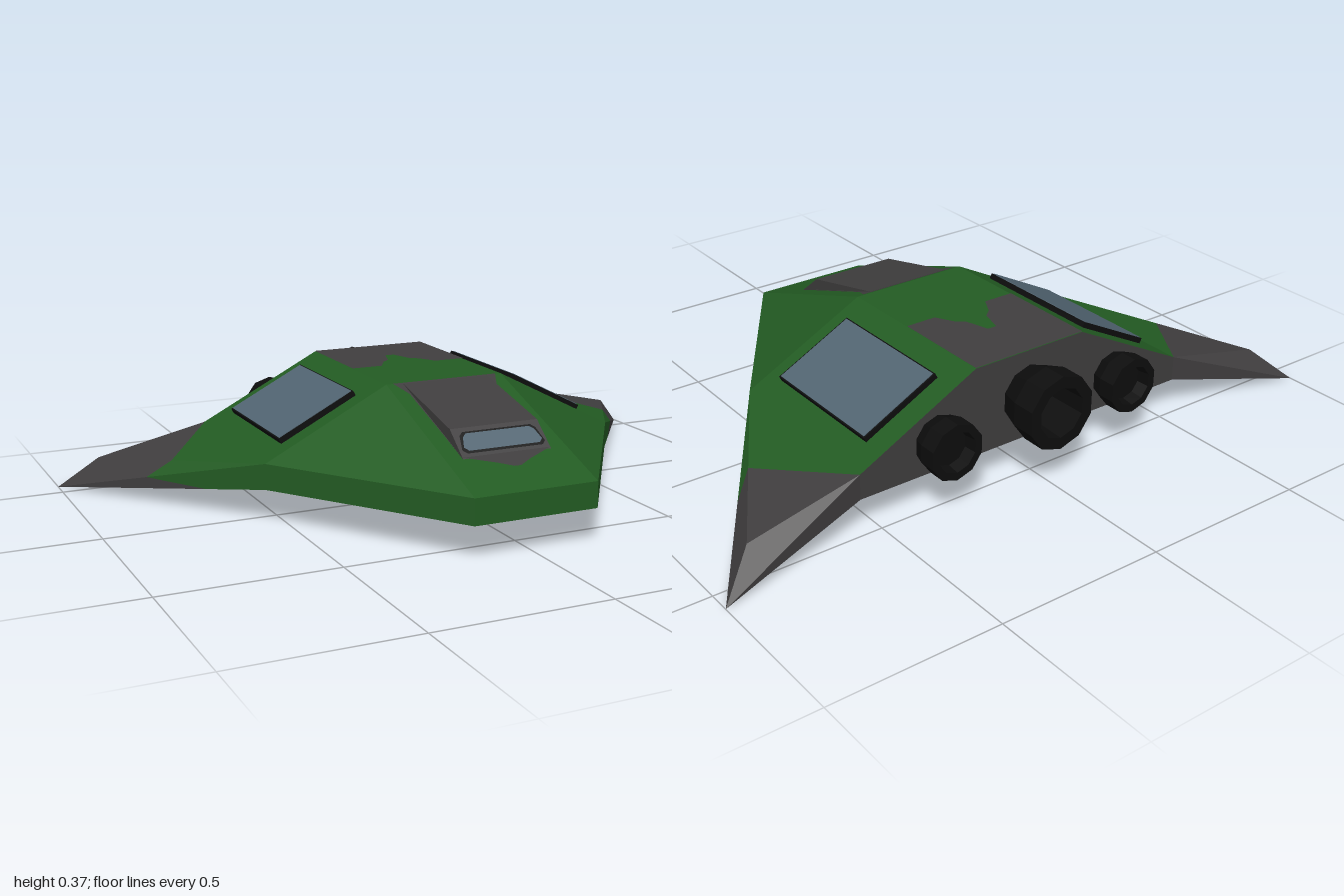
import * as THREE from 'three';

const mat = (name, color) => new THREE.MeshStandardMaterial({ name, color, flatShading: true, side: THREE.DoubleSide });

export function createModel() {
  const green = mat('hullGreen', 0x235c23);
  const grey = mat('hullGrey', 0x403e3f);
  const black = mat('engineBlack', 0x0d0d0d);
  const glass = mat('glassBlue', 0x526572);

  const model = new THREE.Group();
  model.name = 'deltaCraft';

  const add = (parent, name, geometry, material) => {
    const mesh = new THREE.Mesh(geometry, material);
    mesh.name = name;
    parent.add(mesh);
    return mesh;
  };

  // Flat convex panel, wound so that it faces along the outward hint
  const panel = (name, material, hint, pts) => {
    const v = pts.map((p) => new THREE.Vector3(...p));
    const n = v[1].clone().sub(v[0]).cross(v[2].clone().sub(v[0]));
    if (n.dot(new THREE.Vector3(...hint)) < 0) v.reverse();
    const tris = [];
    for (let i = 1; i < v.length - 1; i++) tris.push(v[0], v[i], v[i + 1]);
    const g = new THREE.BufferGeometry().setFromPoints(tris);
    g.computeVertexNormals();
    add(model, name, g, material);
  };
  const flip = ([x, y, z]) => [-x, y, z];
  const pair = (name, material, hint, pts) => {
    panel('left' + name, material, hint, pts);
    panel('right' + name, material, flip(hint), pts.map(flip));
  };
  const across = (name, material, hint, pts) =>
    panel(name, material, hint, [...pts, ...pts.map(flip).reverse()]);
  const mix = (a, b, t) => a.map((c, i) => c + (b[i] - c) * t);

  // Key corners of the left half of the hull
  const noseTop = [0.185, 0.175, 0.62], noseLow = [0.185, 0.1, 0.62];
  const ridge = [0.185, 0.365, 0.07], ridgeRear = [0.185, 0.365, -0.485];
  const shoulder = [0.555, 0.175, 0.07], shoulderLow = [0.555, 0.1, 0.07];
  const rear = [0.555, 0.175, -0.485], rearLow = [0.555, 0.1, -0.485];
  const wingKnee = [0.89, 0.1, -0.485], tip = [1, 0, -0.565];

  // Central hull
  across('roof', green, [0, 1, 0], [ridge, ridgeRear]);
  across('noseSlope', green, [0, 1, 1], [noseTop, ridge]);
  across('noseFront', green, [0, 0, 1], [noseLow, noseTop]);
  across('belly', grey, [0, -1, 0], [noseLow, shoulderLow, rearLow]);
  across('sternPlate', grey, [0, 0, -1], [rearLow, rear, ridgeRear]);
  pair('CheekSlope', green, [1, 1, 1], [noseTop, shoulder, ridge]);
  pair('RoofSlope', green, [1, 1, 0], [ridge, shoulder, rear, ridgeRear]);
  pair('NoseSide', green, [1, 0, 1], [noseLow, shoulderLow, shoulder, noseTop]);

  // Wings: green roots running into grey tips
  const onCrease = mix(shoulder, wingKnee, 0.54);
  const onEdge = mix(shoulder, tip, 0.55);
  const onKeel = mix(shoulderLow, tip, 0.27);
  pair('WingTopRoot', green, [0, 1, 0], [shoulder, onCrease, rear]);
  pair('WingTopTip', grey, [0, 1, 0], [onCrease, wingKnee, rear]);
  pair('WingEdgeRoot', green, [1, 1, 0], [shoulder, onEdge, onCrease]);
  pair('WingEdgeTip', grey, [1, 1, 0], [onCrease, onEdge, tip, wingKnee]);
  pair('WingSideRoot', green, [1, 0, 1], [shoulder, shoulderLow, onKeel, onEdge]);
  pair('WingSideTip', grey, [1, 0, 1], [onEdge, onKeel, tip]);
  pair('WingUnderside', grey, [0, -1, 0], [shoulderLow, rearLow, tip]);
  pair('WingRearUpper', grey, [0, 0, -1], [rear, wingKnee, tip]);
  pair('WingRearLower', grey, [0, 0, -1], [rear, tip, rearLow]);

  // Painted patches laid just above the hull; half outlines are given as [x, z]
  const patch = (name, half, heightAt) => {
    const outline = [...half, ...half.map(([x, z]) => [-x, z]).reverse()];
    const shape = new THREE.Shape(outline.map(([x, z]) => new THREE.Vector2(x, -z)));
    const g = new THREE.ShapeGeometry(shape).rotateX(-Math.PI / 2);
    const p = g.attributes.position;
    for (let i = 0; i < p.count; i++) p.setY(i, heightAt(p.getZ(i)) + 0.002);
    g.computeVertexNormals();
    add(model, name, g, grey);
  };
  const slopeY = (z) => 0.175 + (0.19 * (0.62 - z)) / 0.55;
  patch('roofPatch', [[0.185, -0.485], [0.185, -0.175], [0.09, -0.175], [0.06, -0.23],
    [0.035, -0.25], [0.014, -0.32]], () => 0.365);
  patch('nosePatch', [[0.165, 0.072], [0.14, 0.13], [0.135, 0.45], [0.05, 0.49], [0.01, 0.513]], slopeY);

  // Cockpit: wedge with a sloped front window
  const cockpit = new THREE.Group();
  cockpit.name = 'cockpit';
  model.add(cockpit);
  const wedge = new THREE.Shape([[0.08, 0.33], [0.455, 0.2], [0.455, 0.232], [0.375, 0.297], [0.08, 0.364]]
    .map(([z, y]) => new THREE.Vector2(z, y)));
  add(cockpit, 'cockpitShell', new THREE.ExtrudeGeometry(wedge, { depth: 0.27, bevelEnabled: false })
    .rotateY(-Math.PI / 2).translate(0.135, 0, 0), grey);
  const windowPane = (name, w, h, lift, material) => {
    const c = 0.012;
    const half = [[w - 0.01 - c, h], [w - 0.01, h - c], [w, c - h], [w - c, -h]];
    const pts = [...half, ...half.map(([x, y]) => [-x, y]).reverse()];
    const g = new THREE.ShapeGeometry(new THREE.Shape(pts.map(([x, y]) => new THREE.Vector2(x, y))));
    const tilt = Math.atan2(0.08, 0.065);
    g.translate(0, 0, lift).rotateX(-tilt).translate(0, 0.2645, 0.415);
    add(cockpit, name, g, material);
  };
  windowPane('windowFrame', 0.127, 0.036, 0.002, black);
  windowPane('windowGlass', 0.12, 0.029, 0.004, glass);

  // Raised glazed panels on both roof slopes
  for (const side of [1, -1]) {
    const roofPanel = new THREE.Group();
    roofPanel.name = side > 0 ? 'leftRoofPanel' : 'rightRoofPanel';
    roofPanel.position.set(side * 0.37, 0.27, -0.2);
    roofPanel.rotation.z = -side * Math.atan2(0.19, 0.37);
    add(roofPanel, 'panelFrame', new THREE.BoxGeometry(0.258, 0.032, 0.422), black);
    const pane = add(roofPanel, 'panelGlass', new THREE.BoxGeometry(0.25, 0.003, 0.412), glass);
    pane.position.y = 0.0165;
    model.add(roofPanel);
  }

  // Engine nozzles: flared rings, the middle one hollow
  const nozzle = (name, x, y, profile) => {
    const g = new THREE.LatheGeometry(profile.map(([r, d]) => new THREE.Vector2(r, d)), 10);
    g.rotateX(-Math.PI / 2);
    add(model, name, g, black).position.set(x, y, -0.485);
  };
  nozzle('mainEngine', 0, 0.232, [[0.085, -0.01], [0.11, 0.065], [0.11, 0.137], [0.075, 0.137], [0.07, -0.001]]);
  for (const side of [1, -1]) {
    nozzle(side > 0 ? 'leftEngine' : 'rightEngine', side * 0.309, 0.195,
      [[0.07, -0.01], [0.083, 0.035], [0.083, 0.087], [0.06, 0.087], [0.055, 0.05], [0, 0.05]]);
  }
  return model;
}
